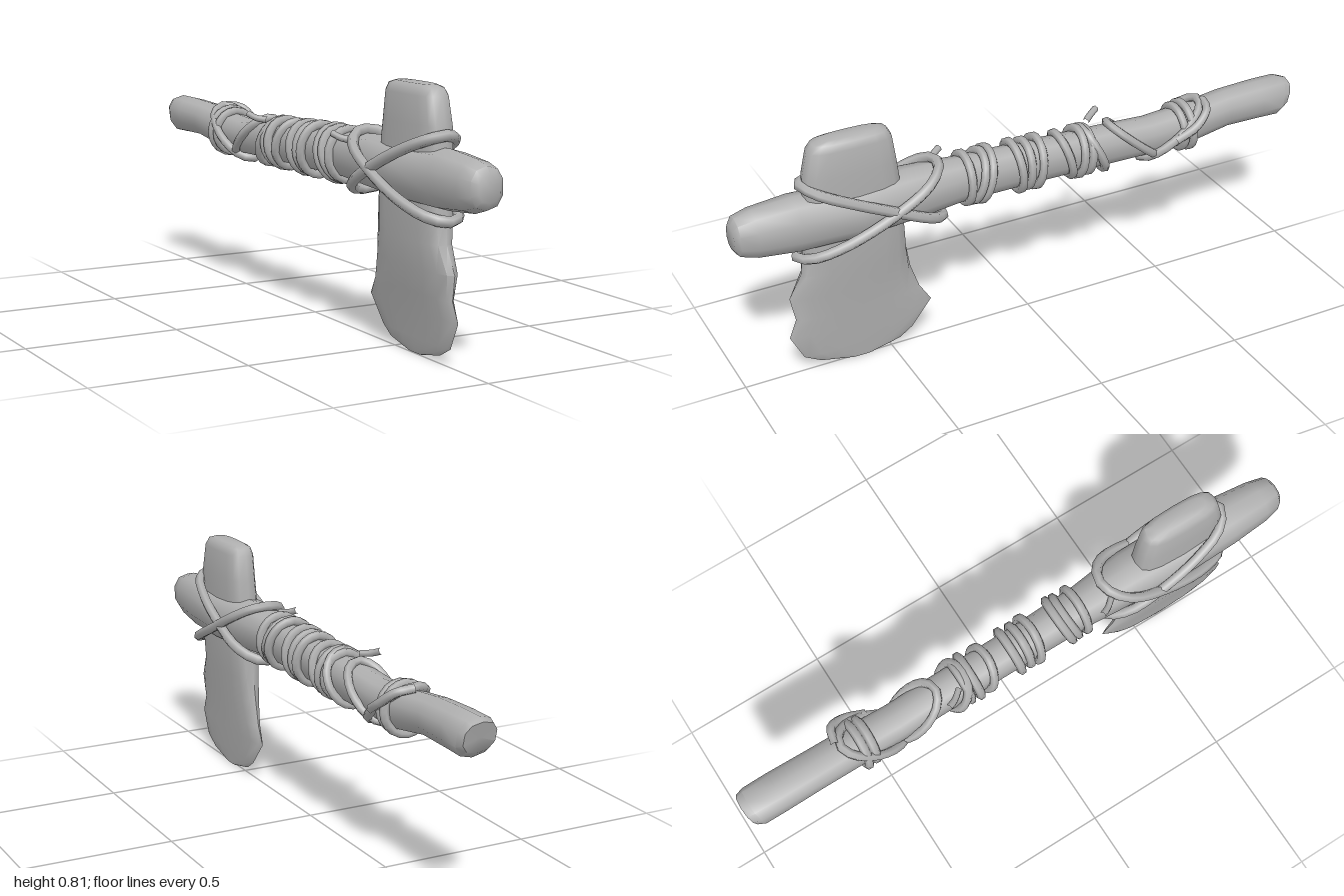
import * as THREE from 'three';
import { toCreasedNormals } from 'three/addons/utils/BufferGeometryUtils.js';

const grey = new THREE.MeshStandardMaterial({ color: 0xb0b0b0 });
grey.name = 'stone grey';

// Skin a list of equal-length point rings and close both ends
function loft(rings, crease) {
  const n = rings[0].length, last = rings.length - 1;
  const points = rings.flat(), index = [];
  for (let i = 0; i < last; i++) {
    for (let j = 0; j < n; j++) {
      const k = (j + 1) % n;
      const a = i * n + j, b = i * n + k, c = b + n, d = a + n;
      index.push(a, b, c, a, c, d);
    }
  }
  const centre = (ring) => ring.reduce((s, p) => s.add(p), new THREE.Vector3()).divideScalar(n);
  points.push(centre(rings[0]), centre(rings[last]));
  for (let j = 0; j < n; j++) {
    const k = (j + 1) % n;
    index.push(points.length - 2, k, j, points.length - 1, last * n + j, last * n + k);
  }
  const geometry = new THREE.BufferGeometry().setFromPoints(points);
  geometry.setIndex(index);
  return toCreasedNormals(geometry, crease);
}

const power = (v, e) => Math.sign(v) * Math.abs(v) ** e;

// Handle stations: z, bottom y, top y, centre x, half width
const handleStations = [
  [-1.0, 0.515, 0.615, -0.015, 0.055], [-0.975, 0.495, 0.625, -0.015, 0.064],
  [-0.88, 0.498, 0.625, -0.015, 0.065], [-0.75, 0.5, 0.62, -0.015, 0.063],
  [-0.6, 0.475, 0.605, -0.01, 0.062], [-0.45, 0.472, 0.595, -0.01, 0.06],
  [-0.3, 0.475, 0.605, -0.008, 0.06], [0, 0.478, 0.618, -0.008, 0.06],
  [0.25, 0.482, 0.628, -0.005, 0.066], [0.42, 0.472, 0.64, 0, 0.082],
  [0.6, 0.465, 0.632, 0, 0.088], [0.8, 0.463, 0.643, -0.003, 0.08],
  [0.93, 0.475, 0.632, -0.005, 0.068], [0.985, 0.492, 0.618, -0.005, 0.056],
  [1.0, 0.515, 0.595, -0.005, 0.038],
];

function handleAt(z) {
  let i = 1;
  while (i < handleStations.length - 1 && handleStations[i][0] < z) i++;
  const a = handleStations[i - 1], b = handleStations[i];
  const t = (z - a[0]) / (b[0] - a[0]);
  const [, low, high, x, w] = a.map((v, k) => v + (b[k] - v) * t);
  return { x, y: (low + high) / 2, w, h: (high - low) / 2 };
}

function handleGeometry() {
  const sides = 10;
  return loft(handleStations.map(([z, low, high, x, w]) =>
    Array.from({ length: sides }, (_, j) => {
      const a = ((j + 0.5) / sides) * Math.PI * 2;
      const slant = z < -0.95 ? -0.015 * Math.sin(a) + 0.015 : 0;
      return new THREE.Vector3(x + w * power(Math.cos(a), 0.85),
        (low + high) / 2 + ((high - low) / 2) * power(Math.sin(a), 0.85), z + slant);
    })), 0.8);
}

// Blade stations: y, back z, front z, left x, right x, cross-section roundness
const bladeStations = [
  [0.003, 0.57, 0.64, 0.003, 0.009, 1], [0.025, 0.47, 0.745, -0.002, 0.011, 1],
  [0.055, 0.425, 0.8, -0.006, 0.014, 1], [0.14, 0.355, 0.843, -0.019, 0.021, 0.9],
  [0.2, 0.393, 0.817, -0.03, 0.026, 0.85], [0.28, 0.42, 0.832, -0.045, 0.034, 0.8],
  [0.36, 0.433, 0.788, -0.051, 0.042, 0.7], [0.45, 0.44, 0.78, -0.054, 0.05, 0.65],
  [0.64, 0.453, 0.768, -0.053, 0.054, 0.6], [0.7, 0.46, 0.765, -0.05, 0.053, 0.6],
  [0.785, 0.472, 0.745, -0.047, 0.049, 0.6], [0.808, 0.485, 0.728, -0.04, 0.042, 0.6],
  [0.817, 0.51, 0.7, -0.026, 0.028, 0.7],
];

function bladeGeometry() {
  const sides = 16;
  return loft(bladeStations.map(([y, z0, z1, x0, x1, e]) =>
    Array.from({ length: sides }, (_, j) => {
      const a = (j / sides) * Math.PI * 2;
      return new THREE.Vector3((x0 + x1) / 2 + ((x1 - x0) / 2) * power(Math.sin(a), e), y,
        (z0 + z1) / 2 + ((z1 - z0) / 2) * power(Math.cos(a), e));
    })), 0.9);
}

function rope(points, closed, segments, radius = 0.017) {
  const curve = new THREE.CatmullRomCurve3(points, closed, 'centripetal');
  return new THREE.TubeGeometry(curve, segments, radius, 6, closed);
}

// One turn of cord round the handle, tilted from its top z to its bottom z
function wrap(zTop, zBottom, lift = 0.008) {
  const points = Array.from({ length: 10 }, (_, j) => {
    const a = ((j + 0.5) / 10) * Math.PI * 2;
    const z = (zTop + zBottom) / 2 + ((zTop - zBottom) / 2) * Math.sin(a);
    const h = handleAt(z);
    return new THREE.Vector3(h.x + (h.w + lift) * Math.cos(a), h.y + (h.h + lift) * Math.sin(a), z);
  });
  return rope(points, true, 20, 0.015);
}

// Mirrored loop that holds the blade: half of it runs down the +x side
function lashing(half) {
  const right = half.map((p) => new THREE.Vector3(...p));
  const left = half.slice(1, -1).reverse().map(([x, y, z]) => new THREE.Vector3(-x, y, z));
  return rope([...right, ...left], true, 32, 0.0175);
}

export function createModel() {
  const group = new THREE.Group();
  group.name = 'stoneAxe';
  const add = (name, geometry) => {
    const mesh = new THREE.Mesh(geometry, grey);
    mesh.name = name;
    group.add(mesh);
  };

  add('handle', handleGeometry());
  add('blade', bladeGeometry());

  // Two crossing loops round blade and handle
  add('upperLashing', lashing([
    [0, 0.678, 0.775], [0.055, 0.66, 0.735], [0.085, 0.62, 0.64], [0.095, 0.565, 0.52],
    [0.085, 0.5, 0.39], [0.045, 0.467, 0.325], [0, 0.458, 0.31],
  ]));
  add('lowerLashing', lashing([
    [0, 0.43, 0.8], [0.05, 0.44, 0.765], [0.085, 0.475, 0.67], [0.098, 0.54, 0.52],
    [0.085, 0.605, 0.39], [0.045, 0.637, 0.335], [0, 0.645, 0.32],
  ]));

  // Turns of cord along the handle
  const turns = [
    [0.225, 0.23], [0.14, 0.185], [0.165, 0.21], [0.055, 0.04], [0.01, 0.015], [-0.035, -0.015],
    [-0.11, -0.15], [-0.185, -0.17], [-0.215, -0.205], [-0.2, -0.275],
    [-0.3, -0.48], [-0.645, -0.42], [-0.555, -0.565], [-0.585, -0.595],
  ];
  turns.forEach(([top, bottom], i) => add('cordTurn' + (i + 1), wrap(top, bottom, 0.008 + (i % 2) * 0.004)));

  // Slack strand and loose cord ends
  add('slackStrand', rope([[0.0, 0.62, -0.655], [0.055, 0.61, -0.64], [0.078, 0.57, -0.59],
    [0.068, 0.53, -0.52]].map((p) => new THREE.Vector3(...p)), false, 10, 0.015));
  for (const z of [0.3, -0.27]) {
    add('cordEnd', rope([[-0.05, 0.615, z + 0.03], [-0.075, 0.62, z], [-0.09, 0.632, z - 0.03]]
      .map((p) => new THREE.Vector3(...p)), false, 6, 0.011));
  }
  return group;
}
